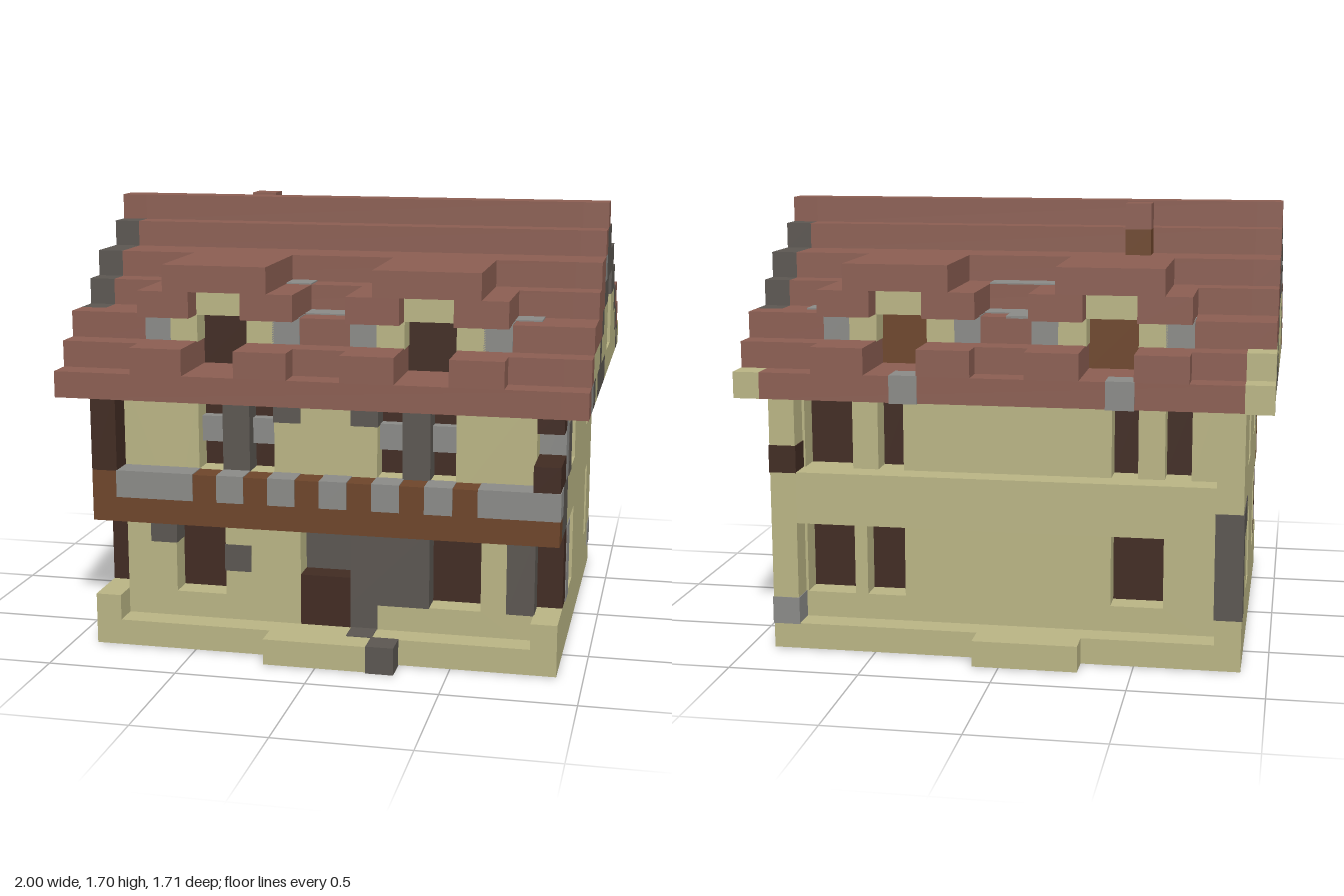
import * as THREE from 'three';

export function createModel() {
  const house = new THREE.Group();
  house.name = 'house';
  const mat = (name, color) => {
    const m = new THREE.MeshStandardMaterial({ color });
    m.name = name;
    return m;
  };
  const red = mat('roof tile', 0x8b5e52), cream = mat('plaster', 0xb9b484);
  const dark = mat('dark wood', 0x412b22), brown = mat('brown wood', 0x6d452a);
  const stone = mat('dark stone', 0x5b5651), grey = mat('grey stone', 0x8a8a87);

  // All sizes are given in tenths; grow makes a coloured skin stand slightly proud
  function box(name, m, x0, x1, y0, y1, z0, z1, grow = 0) {
    const g = new THREE.BoxGeometry((x1 - x0) / 10 + grow, (y1 - y0) / 10 + grow, (z1 - z0) / 10 + grow);
    const mesh = new THREE.Mesh(g, m);
    mesh.position.set((x0 + x1) / 20, (y0 + y1) / 20, (z0 + z1) / 20);
    mesh.name = name;
    house.add(mesh);
    return mesh;
  }
  const patch = (m, ...b) => box('patch', m, ...b, 0.006);
  const pane = (m, ...b) => box('windowPane', m, ...b, 0.01);

  // Wall one tenth thick with rectangular openings [u0, u1, y0, y1]
  function panel(name, u0, u1, y0, y1, holes) {
    const rect = (path, a, b, c, d) => {
      path.moveTo(a / 10, c / 10);
      path.lineTo(b / 10, c / 10);
      path.lineTo(b / 10, d / 10);
      path.lineTo(a / 10, d / 10);
      path.closePath();
      return path;
    };
    const shape = rect(new THREE.Shape(), u0, u1, y0, y1);
    for (const h of holes) shape.holes.push(rect(new THREE.Path(), ...h));
    const mesh = new THREE.Mesh(new THREE.ExtrudeGeometry(shape, { depth: 0.1, bevelEnabled: false }), cream);
    mesh.name = name;
    house.add(mesh);
    return mesh;
  }

  // Plinth, steps and inner core
  box('plinth', cream, -9, 9, 0, 1, -7.5, 7.5);
  for (const x of [-9, 8]) box('plinthRim', cream, x, x + 1, 1, 2, -7.5, 7.5);
  box('frontStep', cream, -2, 3, 0, 1, 7.5, 8.5);
  box('backStep', cream, -3, 1, 0, 1, -8.5, -7.5);
  box('core', cream, -8, 8, 1, 10, -5.5, 5.5);
  patch(stone, 2, 3, 0, 1, 7.5, 8.5);
  box('pathStone', stone, 1, 2, 0.95, 1.03, 6.5, 7.5);
  patch(grey, 8, 9, 1, 2, -7.5, -6.5);
  box('cellarFloor', stone, 1, 8, -0.03, 0.05, -1.5, 6.5);
  box('cellarFloor', stone, 5, 6, -0.03, 0.05, -6.5, -3.5);

  // Front wall
  const frontHoles = [[-6, -4, 2, 5], [4, 6, 2, 5], [-1, 1, 1, 5]];
  for (const x of [-5, -3, 2, 4]) frontHoles.push([x, x + 1, 7, 10]);
  panel('frontWall', -8, 8, 0.5, 10.5, frontHoles).position.z = 0.55;
  for (const [a, b, c, d] of frontHoles.slice(0, 2)) pane(dark, a, b, c, d, 5.4, 5.5);
  for (const x of [-5, -3, 2, 4]) {
    pane(dark, x, x + 1, 7, 10, 5.4, 5.5);
    box('windowBar', grey, x, x + 1, 8, 9, 5.4, 6);
  }
  pane(stone, -1, 1, 1, 5, 5.4, 5.5);
  box('frontDoor', dark, -1, 1, 1, 3, 5.5, 6.5);
  for (const [x0, x1, y0, y1] of [[1, 4, 2, 5], [1, 2, 1, 2], [-7, -6, 4, 5], [-4, -3, 3, 4], [7, 8, 2, 5],
    [-4, -3, 7, 10], [3, 4, 7, 10], [-2, -1, 9, 10], [1, 2, 9, 10]]) patch(stone, x0, x1, y0, y1, 5.6, 6.5);

  // Back wall
  const backHoles = [[6, 8, 2, 5], [4, 5.5, 2, 5], [-6, -4, 2, 5], [6, 8, 7, 10], [4, 5, 7, 10], [-5, -4, 7, 10], [-7, -6, 7, 10]]
    .map(([a, b, c, d]) => [a, Math.min(b, 7.9), c, d]);
  panel('backWall', -8, 8, 0.5, 10.5, backHoles).position.z = -0.65;
  for (const [a, b, c, d] of backHoles) pane(dark, a, b, c, d, -5.5, -5.4);
  box('backBand', cream, -8, 8, 5, 7, -7.5, -6.5);
  patch(stone, -9, -8, 2, 6, -7.5, -6.5);
  patch(stone, -9, -8.5, 5, 6, -6.5, -4.5);
  patch(dark, 8, 9, 7, 8, -7.5, -6.5);

  // Side walls, windows as [z0, z1]
  for (const [s, wins] of [[1, [[1.5, 3.5], [-5.5, -4.5]]], [-1, [[-3.5, -1.5], [2.5, 4.4]]]]) {
    const holes = [];
    for (const [a, b] of wins) for (const y of [2, 7]) {
      holes.push([-b, -a, y, y + 3]);
      const [p0, p1] = s > 0 ? [7.9, 8] : [-8, -7.9];
      pane(dark, p0, p1, y, y + 3, a, b);
      const [b0, b1] = s > 0 ? [7.9, 8.3] : [-8.3, -7.9];
      box('windowBar', grey, b0, b1, y + 1, y + 2, a, b);
    }
    const wall = panel('sideWall', -4.5, 7.5, 1.5, 10.02, holes);
    wall.rotation.y = Math.PI / 2;
    wall.position.x = s > 0 ? 0.8 : -0.9;
    const x = s > 0 ? 8 : -9;
    box('cornerPost', dark, x, x + 1, 2, 5, 4.5, 5.5);
    box('balconyEnd', s > 0 ? stone : cream, x, x + 1, 5, 7, 4.5, 6.5);
    box('upperPost', grey, x, x + 1, 7, 10, 4.5, 5.5);
  }
  patch(grey, 8, 9, 2, 5, 3.5, 4.5);
  patch(stone, 8, 9, 7, 9, 3.5, 4.5);
  box('brokenPost', dark, 8, 9, 7, 8, 5.5, 7.5);
  box('brokenPost', dark, 8, 9, 9, 10, 5.5, 6.5);
  box('balconyPost', dark, -9, -8, 7, 10, 6.5, 7.5);

  // Balcony with a studded rail
  box('balconyBeam', brown, -9, 9, 5, 7, 6.5, 7.5);
  for (const [a, b] of [[-8, -5], [-4, -3], [-2, -1], [0, 1], [2, 3], [4, 5], [6, 9]]) patch(grey, a, b, 6, 7, 6.5, 7.5);

  // Stepped roof, half depth per course
  [[10, 8.5], [11, 5.5], [12, 5.5], [13, 4.5], [14, 3.5], [15, 1.5], [16, 0.5]].forEach(([y, h]) =>
    box('roofCourse', red, -9, 9, y, y + 1, -h, h));

  // Gable ends: runs of [colour, back edge] from the front to the back; null is the attic window
  const gable = [
    [10, 8.5, [red, 7.5], [grey, 6.5], [stone, 5.5], [cream, 4.5], [stone, 0.5], [cream, -6.5], [stone, -7.5], [cream, -8.5]],
    [11, 7.5, [red, 6.5], [cream, 3.5], [stone, 2.5], [cream, -0.5], [null, -2.5], [cream, -5.5], [stone, -6.5], [red, -7.5]],
    [12, 6.5, [red, 2.5], [stone, 1.5], [cream, -0.5], [null, -2.5], [cream, -4.5], [stone, -5.5], [red, -6.5]],
    [13, 4.5, [red, 1.5], [stone, -0.5], [null, -2.5], [stone, -4.5]],
    [14, 3.5, [red, 1.5], [grey, 0.5], [stone, -3.5]],
    [15, 1.5, [red, 0.5], [stone, -1.5]],
    [16, 0.5, [red, -0.5]],
  ];
  for (const s of [1, -1]) {
    for (const [y, start, ...runs] of gable) {
      let z = start;
      for (const [m, end] of runs) {
        const outer = s < 0 && y === 10 && end === -8.5 ? red : m;
        const [x0, x1] = s > 0 ? [9, 10] : [-10, -9];
        const [z0, z1] = s > 0 ? [end, z] : [-z, -end];
        if (m) box('gableEnd', outer, x0, x1, y, y + 1, z0, z1);
        z = end;
      }
    }
    const [p0, p1] = s > 0 ? [8.9, 9] : [-9, -8.9];
    const [q0, q1] = s > 0 ? [-2.5, -0.5] : [0.5, 2.5];
    pane(dark, p0, p1, 11, 14, q0, q1);
  }

  // Lower roof edges and dormers on both slopes
  for (const s of [1, -1]) {
    const sbox = (name, m, x0, x1, y0, y1, a, b, grow) =>
      box(name, m, x0, x1, y0, y1, s > 0 ? a : -b, s > 0 ? b : -a, grow);
    for (const [a, b] of [[-9, -5], [-3, 3], [5, 9]]) {
      sbox('roofCourse', red, a, b, 11, 12, 5.5, 7.5);
      sbox('roofCourse', red, a, b, 12, 13, 5.5, 6.5);
    }
    for (const c of [-4, 4]) {
      sbox('dormerRoof', red, c - 2, c + 2, 14, 15, 3.5, 7.5);
      sbox('dormerGable', cream, c - 1, c + 1, 13, 14, 4.5, 6.5);
      sbox('dormerWindow', s > 0 ? dark : brown, c - 1, c + 1, 11, 13, 5.4, 5.5, 0.01);
      for (const k of [-1, 1]) {
        const span = (a, b) => (k > 0 ? [c + a, c + b] : [c - b, c - a]);
        sbox('dormerEave', red, ...span(1, 3), 13, 14, 4.5, 7.5);
        sbox('eaveBlock', red, ...span(1, 3), 11, 12, 7.5, 8.5);
        sbox('dormerCheek', cream, ...span(1, 2), 12, 13, 5.6, 6.5, 0.006);
        sbox('dormerCheek', grey, ...span(2, 3), 12, 13, 5.6, 6.5, 0.006);
      }
    }
  }

  // Worn patches on the roof
  for (const [x0, x1, z0, z1] of [[-1, 0, -6.5, -5.5], [-1, 1, -5.5, -4.5], [-1, 1, 4.5, 5.5], [7, 8, -5.5, -4.5], [7, 8, 4.5, 5.5]])
    box('wornTile', grey, x0, x1, 12.95, 13.05, z0, z1);
  box('wornTile', grey, -2, 1, 13.95, 14.05, -4.5, -3.5);
  box('wornTile', grey, -2, -1, 13.95, 14.05, 3.5, 4.5);
  for (const x of [-5, 3]) patch(grey, x, x + 1, 10, 11, -8.5, -7.5);
  patch(cream, -10, -9, 10, 11, -8.5, -7.5);
  patch(cream, -10, -9, 11, 12, -7.5, -6.5);

  // Chimney
  box('chimney', brown, -5, -4, 15, 16, -2.5, -1.5);
  box('chimneyTop', red, -5, -4, 16, 17, -2.5, -1.5);
  return house;
}
